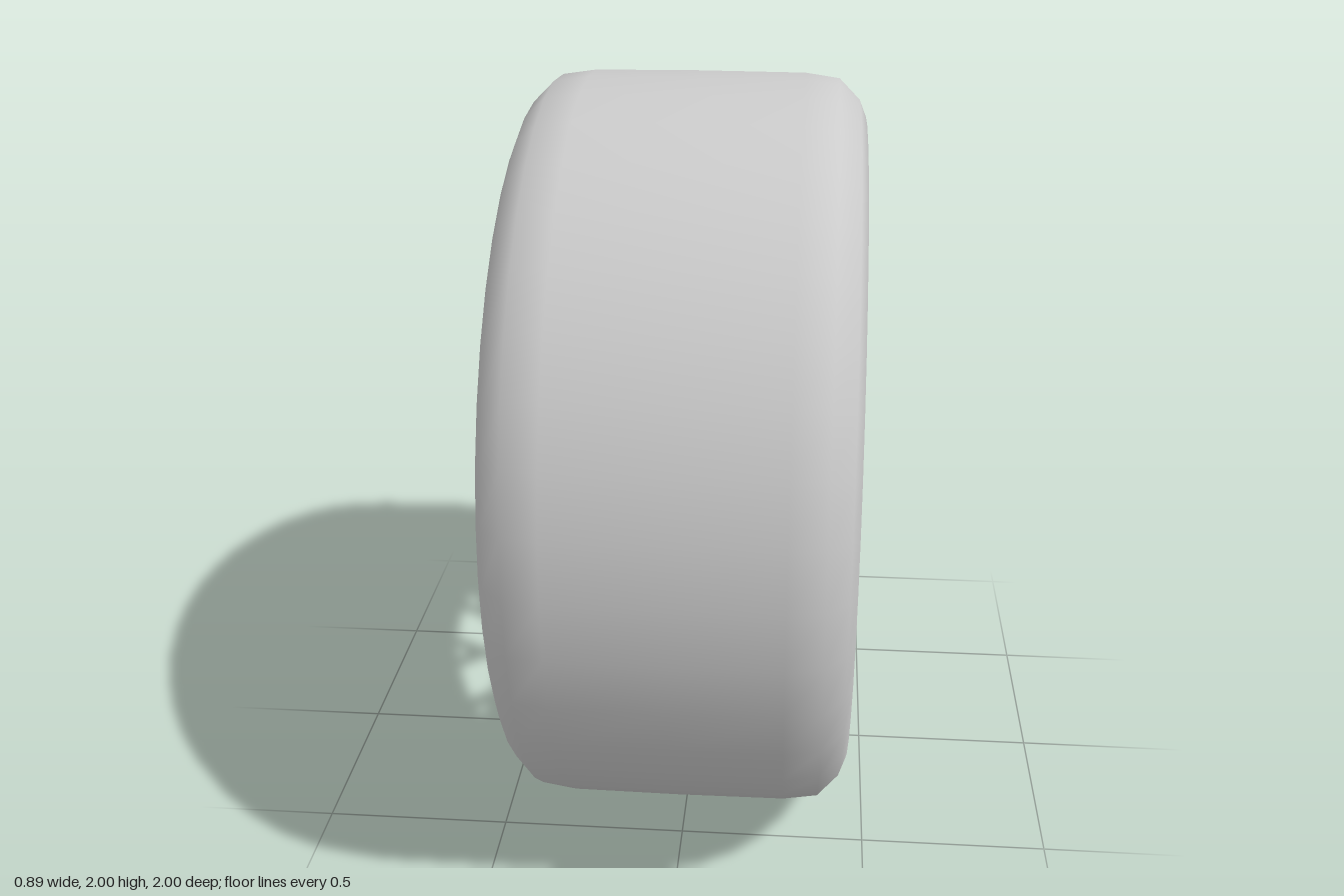
import * as THREE from 'three';

const grey = new THREE.MeshStandardMaterial({ color: 0xcccccc });
const greyDouble = new THREE.MeshStandardMaterial({ color: 0xcccccc, side: THREE.DoubleSide });

// Revolve a list of [axle position, radius] pairs around the x axis
function turned(name, profile, segments) {
  const geo = new THREE.LatheGeometry(profile.map(([x, r]) => new THREE.Vector2(r, x)), segments);
  geo.rotateZ(-Math.PI / 2);
  const mesh = new THREE.Mesh(geo, greyDouble);
  mesh.name = name;
  return mesh;
}

// Equal parts (already facing +x) set in a circle around the axle, counted from the top
function circleOf(name, geo, count, offset, radius, x) {
  const group = new THREE.Group();
  group.name = name + 's';
  for (let i = 0; i < count; i++) {
    const a = offset + (i / count) * Math.PI * 2;
    const mesh = new THREE.Mesh(geo, grey);
    mesh.name = name;
    mesh.position.set(x, radius * Math.cos(a), radius * Math.sin(a));
    group.add(mesh);
  }
  return group;
}

const bolt = (radius, length, sides) =>
  new THREE.CylinderGeometry(radius, radius * 1.1, length, sides).rotateZ(-Math.PI / 2);

// Mirrored window outline from [radial, lateral] points, turned to an angle, corners slightly rounded
function windowPath(half, angle) {
  const pts = [...half, ...half.slice().reverse().map(([r, u]) => [r, -u])].map(([r, u]) =>
    new THREE.Vector2(u, r).rotateAround(new THREE.Vector2(), angle));
  const path = new THREE.Path();
  const n = pts.length;
  pts.forEach((p, i) => {
    const before = p.clone().lerp(pts[(i + n - 1) % n], 0.22);
    const after = p.clone().lerp(pts[(i + 1) % n], 0.22);
    if (i === 0) path.moveTo(before.x, before.y);
    else path.lineTo(before.x, before.y);
    path.quadraticCurveTo(p.x, p.y, after.x, after.y);
  });
  path.closePath();
  return path;
}

// Spoked centre: eight Y-shaped spokes left between long windows and short fork windows
function spokes() {
  const shape = new THREE.Shape().absarc(0, 0, 0.575, 0, Math.PI * 2);
  shape.holes.push(new THREE.Path().absarc(0, 0, 0.1, 0, Math.PI * 2));
  const long = [[0.508, 0.06], [0.498, 0.093], [0.31, 0.095], [0.255, 0.078], [0.22, 0.058], [0.204, 0.02]];
  const fork = [[0.508, 0.035], [0.502, 0.068], [0.352, 0.01]];
  for (let i = 0; i < 8; i++) {
    shape.holes.push(windowPath(long, (i * Math.PI) / 4));
    shape.holes.push(windowPath(fork, ((i + 0.5) * Math.PI) / 4));
  }
  const geo = new THREE.ExtrudeGeometry(shape, {
    depth: 0.02, bevelEnabled: true, bevelThickness: 0.015, bevelSize: 0.008,
    bevelOffset: -0.008, bevelSegments: 2, curveSegments: 48,
  });
  // Dish the spokes towards a flat hub
  const pos = geo.attributes.position;
  for (let i = 0; i < pos.count; i++) {
    const r = Math.hypot(pos.getX(i), pos.getY(i));
    const t = THREE.MathUtils.clamp((r - 0.22) / 0.27, 0, 1);
    pos.setZ(i, pos.getZ(i) + 0.205 - 0.022 * (1 - t));
  }
  geo.computeVertexNormals();
  geo.rotateY(Math.PI / 2);
  const mesh = new THREE.Mesh(geo, grey);
  mesh.name = 'spokes';
  return mesh;
}

export function createModel() {
  const model = new THREE.Group();
  model.name = 'wheel';
  const wheel = new THREE.Group();
  wheel.name = 'wheelAssembly';
  wheel.position.y = 1;
  model.add(wheel);

  // Tyre, mirrored from one half profile: bead, flat sidewall, shoulder, tread
  const half = [[0.34, 0.695], [0.38, 0.715], [0.412, 0.733], [0.43, 0.752], [0.441, 0.79], [0.443, 0.885],
    [0.425, 0.93], [0.37, 0.985], [0.28, 0.998]];
  const mirrored = half.map(([x, r]) => [-x, r]);
  wheel.add(turned('tyre', [...mirrored, [0, 1], ...half.slice().reverse()], 40));

  // Rim: deep front lip, and a wide rear barrel standing clear of the tyre bead
  wheel.add(turned('rimLip', [[0.37, 0.737], [0.395, 0.737], [0.4, 0.725], [0.392, 0.706], [0.36, 0.695],
    [0.3, 0.685], [0.268, 0.668], [0.255, 0.64], [0.245, 0.6], [0.235, 0.58], [0.2, 0.568]], 96));
  wheel.add(turned('rimBarrel', [[-0.34, 0.7], [-0.435, 0.7], [-0.44, 0.695], [-0.435, 0.69], [-0.2, 0.69],
    [0.1, 0.685], [0.18, 0.66], [0.2, 0.62], [0.205, 0.565]], 96));

  // Spoked centre with its ring of small bolts
  wheel.add(spokes());
  wheel.add(circleOf('ringBolt', bolt(0.016, 0.02, 8), 40, Math.PI / 40, 0.546, 0.24));

  // Hub: raised collar, flat cap and rear boss
  wheel.add(turned('hubCollar', [[0.2, 0.125], [0.222, 0.118], [0.23, 0.11], [0.23, 0.098], [0.21, 0.09]], 48));
  wheel.add(turned('hubCap', [[0.2, 0.09], [0.217, 0.088], [0.222, 0.08], [0.222, 0]], 48));
  wheel.add(turned('hubBoss', [[0.14, 0], [0.14, 0.16], [0.15, 0.175], [0.185, 0.175]], 48));

  // Five wheel nuts, each in a round seat
  wheel.add(circleOf('wheelNut', bolt(0.014, 0.03, 6), 5, 0, 0.15, 0.212));
  wheel.add(circleOf('nutSeat', new THREE.TorusGeometry(0.024, 0.006, 6, 20).rotateY(Math.PI / 2), 5, 0, 0.15, 0.218));
  return model;
}
